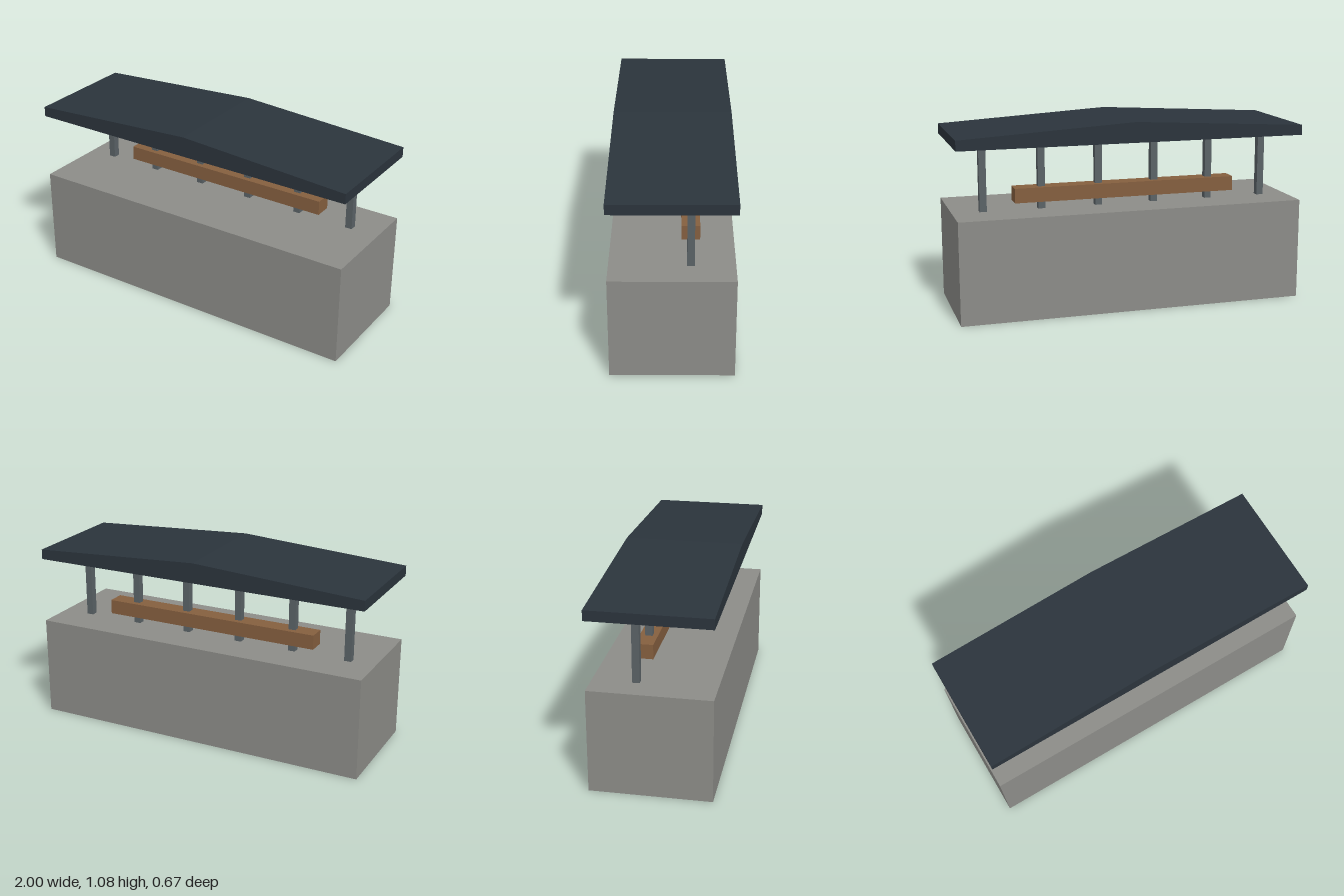
import * as THREE from 'three';

const material = (name, color) => {
  const m = new THREE.MeshStandardMaterial({ color });
  m.name = name;
  return m;
};

export function createModel() {
  const model = new THREE.Group();
  model.name = 'platformShelter';

  const concrete = material('concrete grey', 0x8c8c88);
  const steel = material('steel grey', 0x5a6266);
  const wood = material('bench brown', 0x855f3f);
  const slate = material('roof slate', 0x2b343c);

  // Box placed by its bottom height
  const box = (name, mat, w, h, d, x, bottom, z) => {
    const mesh = new THREE.Mesh(new THREE.BoxGeometry(w, h, d), mat);
    mesh.name = name;
    mesh.position.set(x, bottom + h / 2, z);
    model.add(mesh);
  };

  const deckY = 0.584, eaveY = 0.968, depth = 0.667;

  // Solid platform
  box('platform', concrete, 2, deckY, depth, 0, 0, 0);

  // Row of six posts, set slightly off centre
  for (let i = 0; i < 6; i++) {
    box('post' + (i + 1), steel, 0.04, eaveY - deckY, 0.04, -0.842 + i / 3, deckY, -0.098);
  }

  // Long bench beam carried by the posts
  box('bench', wood, 1.3, 0.083, 0.1, 0, 0.628, -0.099);

  // Shallow gabled roof with a flat underside
  const gable = new THREE.Shape();
  gable.moveTo(-1, eaveY);
  gable.lineTo(1, eaveY);
  gable.lineTo(1, 1.026);
  gable.lineTo(0, 1.084);
  gable.lineTo(-1, 1.026);
  gable.closePath();
  const roofGeometry = new THREE.ExtrudeGeometry(gable, { depth, bevelEnabled: false });
  roofGeometry.translate(0, 0, -depth / 2);
  const roof = new THREE.Mesh(roofGeometry, slate);
  roof.name = 'roof';
  model.add(roof);

  return model;
}
